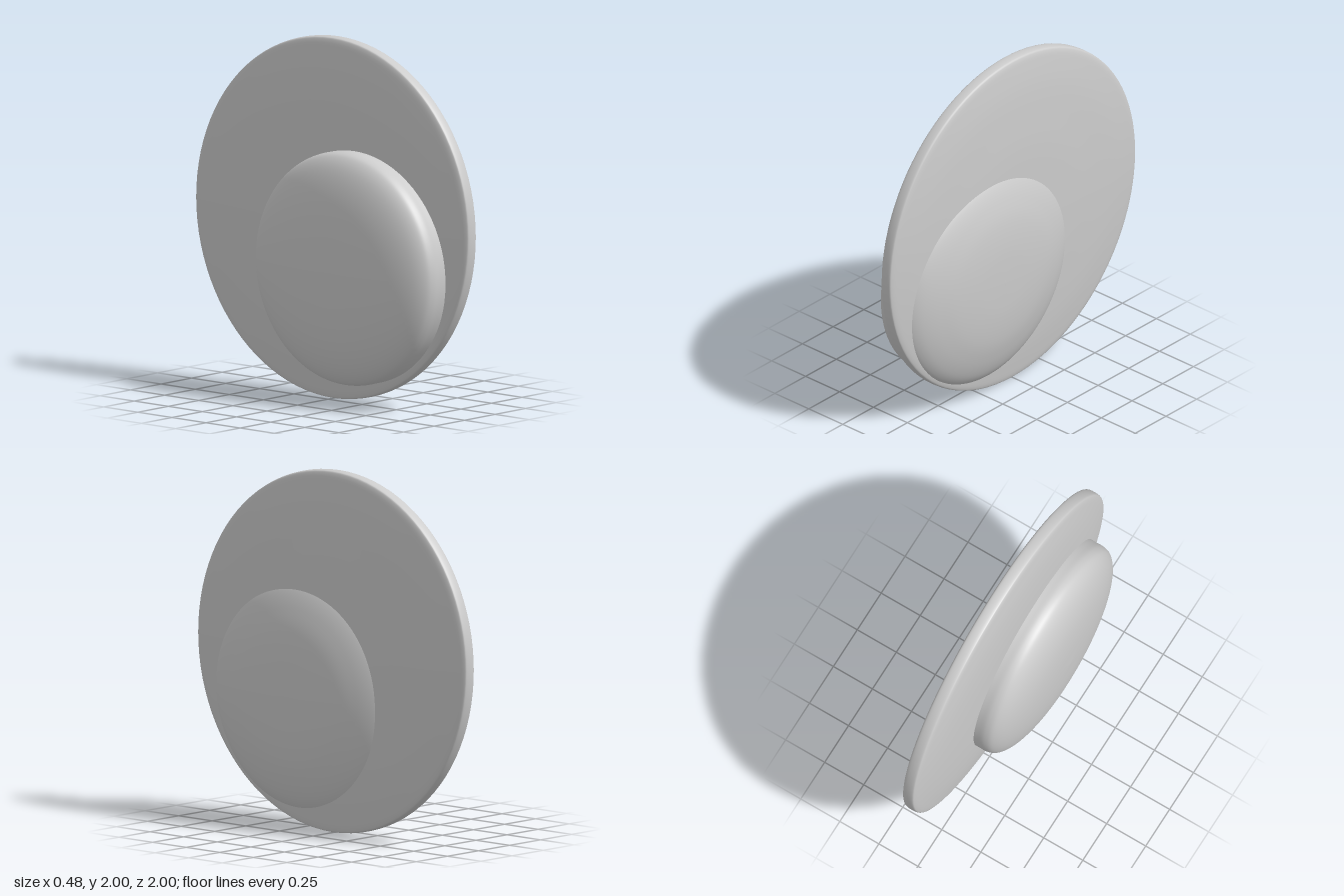
import * as THREE from 'three';

const material = new THREE.MeshStandardMaterial({ color: 0xcccccc });

// Smooth turned part: profile is [radius, x] pairs running from -x to +x, axis along x
function turned(name, profile, y, z) {
  const curve = new THREE.SplineCurve(profile.map(([r, x]) => new THREE.Vector2(r, x)));
  const points = curve.getPoints(48);
  points.forEach((p) => { p.x = Math.max(p.x, 0); });
  const mesh = new THREE.Mesh(new THREE.LatheGeometry(points, 96), material);
  mesh.name = name;
  mesh.rotation.z = -Math.PI / 2;
  mesh.position.set(0, y, z);
  return mesh;
}

export function createModel() {
  const group = new THREE.Group();
  group.name = 'discWithOffsetDome';

  // Large lens-like disc with a narrow rounded rim
  group.add(turned('disc', [
    [0, -0.018], [0.4, -0.016], [0.62, -0.01], [0.8, 0.002], [0.93, 0.018], [0.985, 0.028],
    [1, 0.042], [1, 0.088], [0.985, 0.102], [0.93, 0.112], [0.8, 0.128],
    [0.62, 0.14], [0.4, 0.15], [0, 0.152],
  ], 1, 0));

  // Thick off-centre dome on the -x side
  group.add(turned('backDome', [
    [0, -0.24], [0.2, -0.234], [0.36, -0.219], [0.48, -0.195], [0.57, -0.162],
    [0.625, -0.122], [0.644, -0.08], [0.645, -0.03], [0.645, 0.02],
  ], 0.755, 0.205));

  // Shallow bulge on the +x side, blending into the disc
  group.add(turned('frontBulge', [
    [0.66, 0.08], [0.625, 0.12], [0.57, 0.155], [0.48, 0.189],
    [0.36, 0.218], [0.2, 0.235], [0, 0.24],
  ], 0.745, 0.215));

  return group;
}
